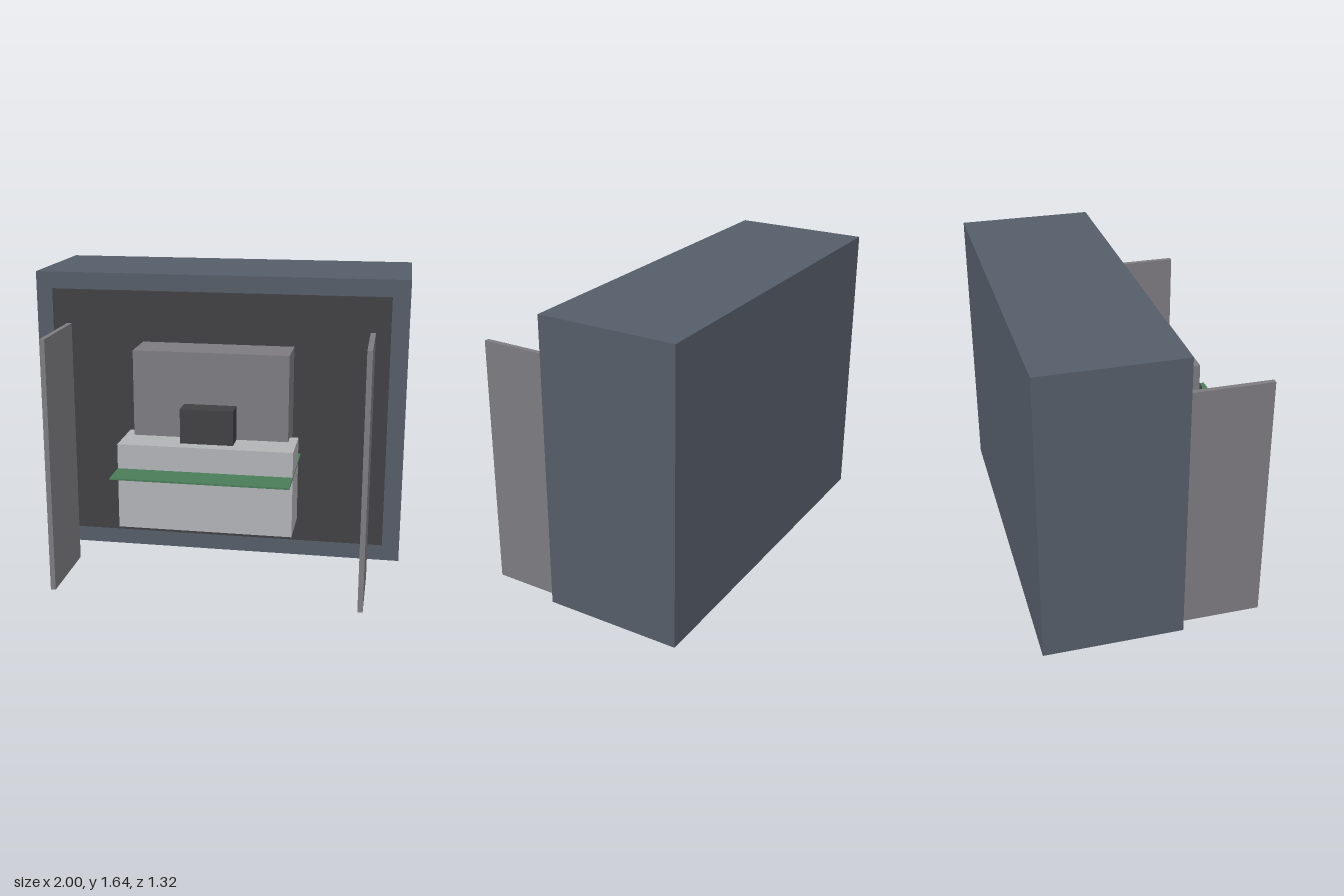
import * as THREE from 'three';

const material = (name, color) => {
  const m = new THREE.MeshStandardMaterial({ color });
  m.name = name;
  return m;
};

export function createModel() {
  const slate = material('slate', 0x555d69);
  const charcoal = material('charcoal', 0x403f42);
  const grey = material('grey', 0x7d7b80);
  const lightGrey = material('light grey', 0xb2b3b6);
  const green = material('green', 0x4a7c59);

  const model = new THREE.Group();
  model.name = 'cabinetUnit';

  // Box given by its [min, max] range on each axis
  const box = (name, mat, [x0, x1], [y0, y1], [z0, z1]) => {
    const mesh = new THREE.Mesh(new THREE.BoxGeometry(x1 - x0, y1 - y0, z1 - z0), mat);
    mesh.position.set((x0 + x1) / 2, (y0 + y1) / 2, (z0 + z1) / 2);
    mesh.name = name;
    model.add(mesh);
  };

  // Main body and its raised front panel
  box('cabinet', slate, [-1, 1], [0.095, 1.637], [-0.658, 0.067]);
  box('frontPanel', charcoal, [-0.907, 0.907], [0.187, 1.547], [0.06, 0.082]);

  // Central machine: rear housing, head, control block and tray sheet
  box('rearHousing', grey, [-0.408, 0.408], [0.457, 1.274], [0.075, 0.315]);
  box('head', lightGrey, [-0.453, 0.453], [0.368, 0.819], [0.225, 0.497]);
  box('controlBlock', charcoal, [-0.138, 0.138], [0.819, 1.0], [0.315, 0.429]);
  box('traySheet', green, [-0.4535, 0.4535], [0.68, 0.689], [0.075, 0.658]);

  // Upright side panels, mirrored
  for (const [name, s] of [['leftSidePanel', 1], ['rightSidePanel', -1]]) {
    const x = s * 0.816;
    box(name, grey, [x - 0.0135, x + 0.0135], [0, 1.363], [0.092, 0.545]);
  }

  return model;
}
